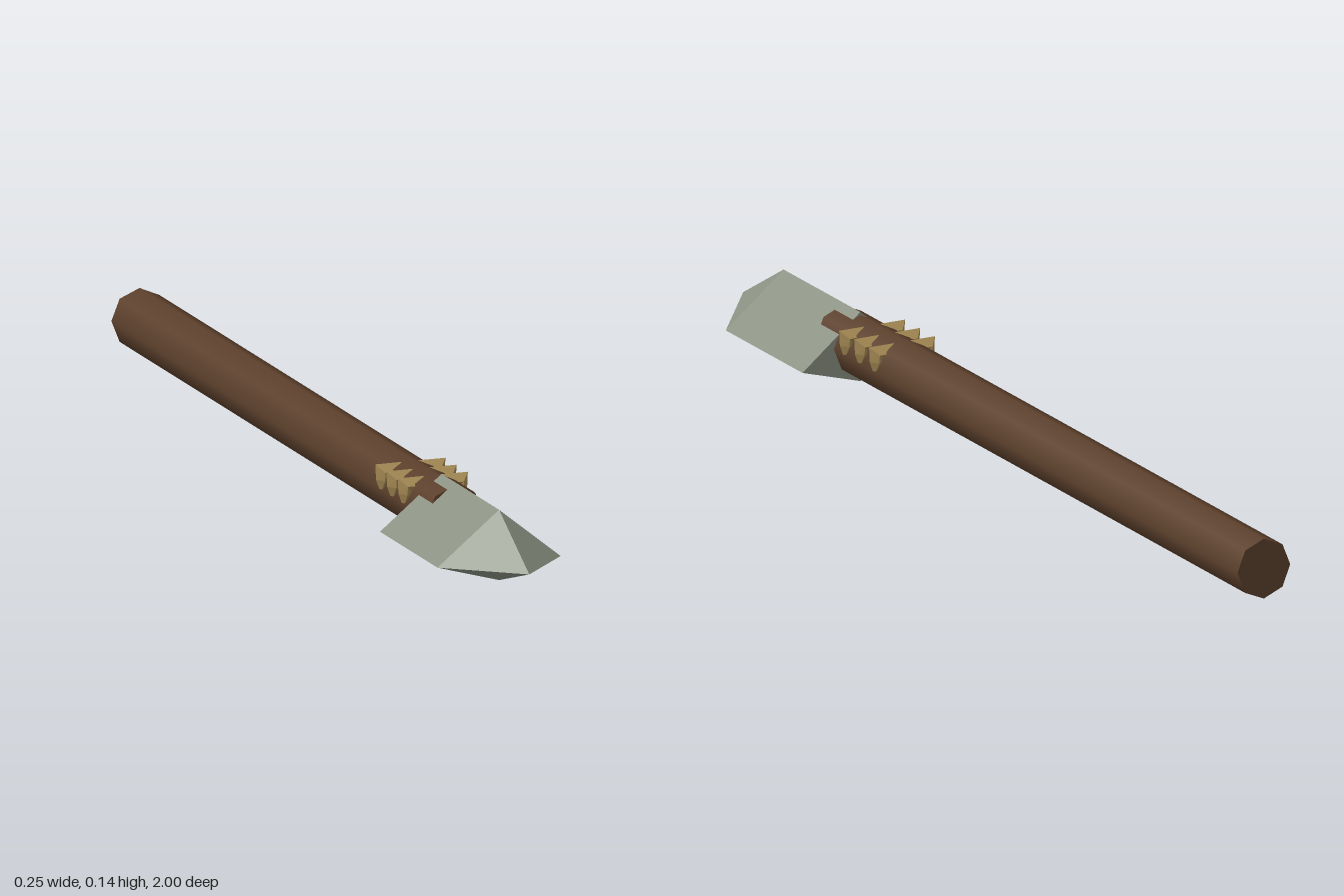
import * as THREE from 'three';

// Skins a list of equal-sized rings and closes both ends with fans (flat faces).
function loft(rings) {
  const pos = [];
  const tri = (a, b, c) => pos.push(...a, ...b, ...c);
  const n = rings[0].length;
  for (let r = 0; r < rings.length - 1; r++) {
    for (let i = 0; i < n; i++) {
      const j = (i + 1) % n;
      const a = rings[r], b = rings[r + 1];
      tri(a[i], a[j], b[j]);
      tri(a[i], b[j], b[i]);
    }
  }
  const first = rings[0], last = rings[rings.length - 1];
  for (let i = 1; i < n - 1; i++) {
    tri(first[0], first[i + 1], first[i]);
    tri(last[0], last[i], last[i + 1]);
  }
  const g = new THREE.BufferGeometry();
  g.setAttribute('position', new THREE.Float32BufferAttribute(pos, 3));
  g.computeVertexNormals();
  return g;
}

function material(name, color) {
  const m = new THREE.MeshStandardMaterial({ color });
  m.name = name;
  return m;
}

export function createModel() {
  const model = new THREE.Group();
  model.name = 'spear';
  const wood = material('dark wood', 0x5c402c);
  const stone = material('grey stone', 0x8b9282);
  const twine = material('tan twine', 0xa88c55);

  const add = (name, geometry, mat) => {
    const mesh = new THREE.Mesh(geometry, mat);
    mesh.name = name;
    model.add(mesh);
    return mesh;
  };

  // Shaft: eight-sided pole whose shoulders break through the stone head
  const shaft = new THREE.CylinderGeometry(0.0585, 0.0585, 1.62, 8);
  shaft.rotateX(Math.PI / 2);
  shaft.scale(0.96, 1, 1);
  shaft.translate(0, 0.0705, -0.19);
  add('shaft', shaft, wood);

  // Head: kite-shaped section running straight, then closing to a tip
  const kite = (z) => [[0.123, 0.035, z], [0, 0.135, z], [-0.123, 0.035, z], [0, 0, z]];
  const tip = Array(4).fill([0, 0.047, 1]);
  add('spearHead', loft([kite(0.55), kite(0.845), tip]), stone);

  // Bindings: ridged bands over the top of the shaft with tapering ends
  // Stations: x, y, outward direction, section scale
  const stations = [
    [0.058, 0.074, 1, 0, 0.3],
    [0.056, 0.092, 1, 0, 0.9],
    [0.056, 0.108, 1, 1, 1],
    [-0.056, 0.108, -1, 1, 1],
    [-0.056, 0.092, -1, 0, 0.9],
    [-0.058, 0.074, -1, 0, 0.3],
  ];
  const band = loft(stations.map(([x, y, dx, dy, s]) => [
    [x + dx * 0.014 * s, y + dy * 0.014 * s, 0],
    [x, y, -0.016 * s],
    [x - dx * 0.02 * s, y - dy * 0.02 * s, 0],
    [x, y, 0.016 * s],
  ]));
  [0.39, 0.447, 0.505].forEach((z, i) => {
    add('binding' + (i + 1), band, twine).position.z = z;
  });

  return model;
}
